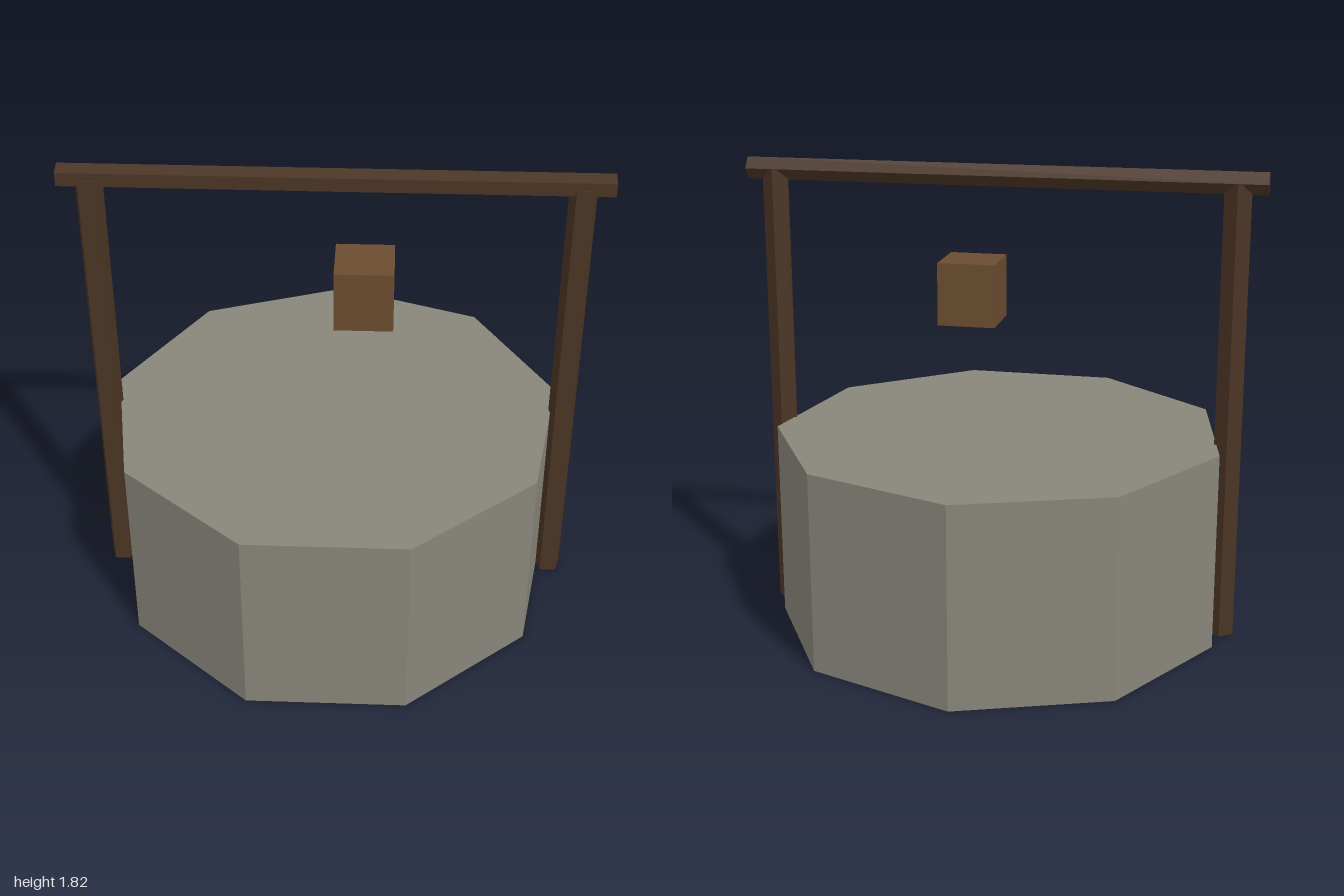
import * as THREE from 'three';

const DEPTH = 0.024; // shared z of every part's axis

const material = (color) => new THREE.MeshStandardMaterial({ color, flatShading: true });

// Upright prism with a corner towards the back and a flat side to the front
function prism(name, radius, height, sides, mat) {
  const geometry = new THREE.CylinderGeometry(radius, radius, height, sides, 1, false, Math.PI);
  const mesh = new THREE.Mesh(geometry, mat);
  mesh.name = name;
  return mesh;
}

export function createModel() {
  const model = new THREE.Group();
  model.name = 'well';

  const stone = material(0x88857a);
  const darkWood = material(0x4a3424);
  const lightWood = material(0x6b4c30);

  // Nine-sided stone base
  const base = prism('stoneBase', 0.884, 0.78, 9, stone);
  base.position.set(0, 0.39, DEPTH);
  model.add(base);

  // Five-sided posts, one on each side
  for (const [name, side] of [['leftPost', 1], ['rightPost', -1]]) {
    const post = prism(name, 0.0535, 1.78, 5, darkWood);
    post.position.set(side * 0.889, 0.89, DEPTH);
    model.add(post);
  }

  // Crossbeam lying along x over the posts
  const beam = prism('crossbeam', 0.0445, 2, 5, darkWood);
  beam.rotation.z = Math.PI / 2;
  beam.position.set(0, 1.782, DEPTH);
  model.add(beam);

  // Bucket hanging off centre
  const bucket = new THREE.Mesh(new THREE.BoxGeometry(0.222, 0.242, 0.222), lightWood);
  bucket.name = 'bucket';
  bucket.position.set(0.111, 1.336, DEPTH);
  model.add(bucket);

  return model;
}
